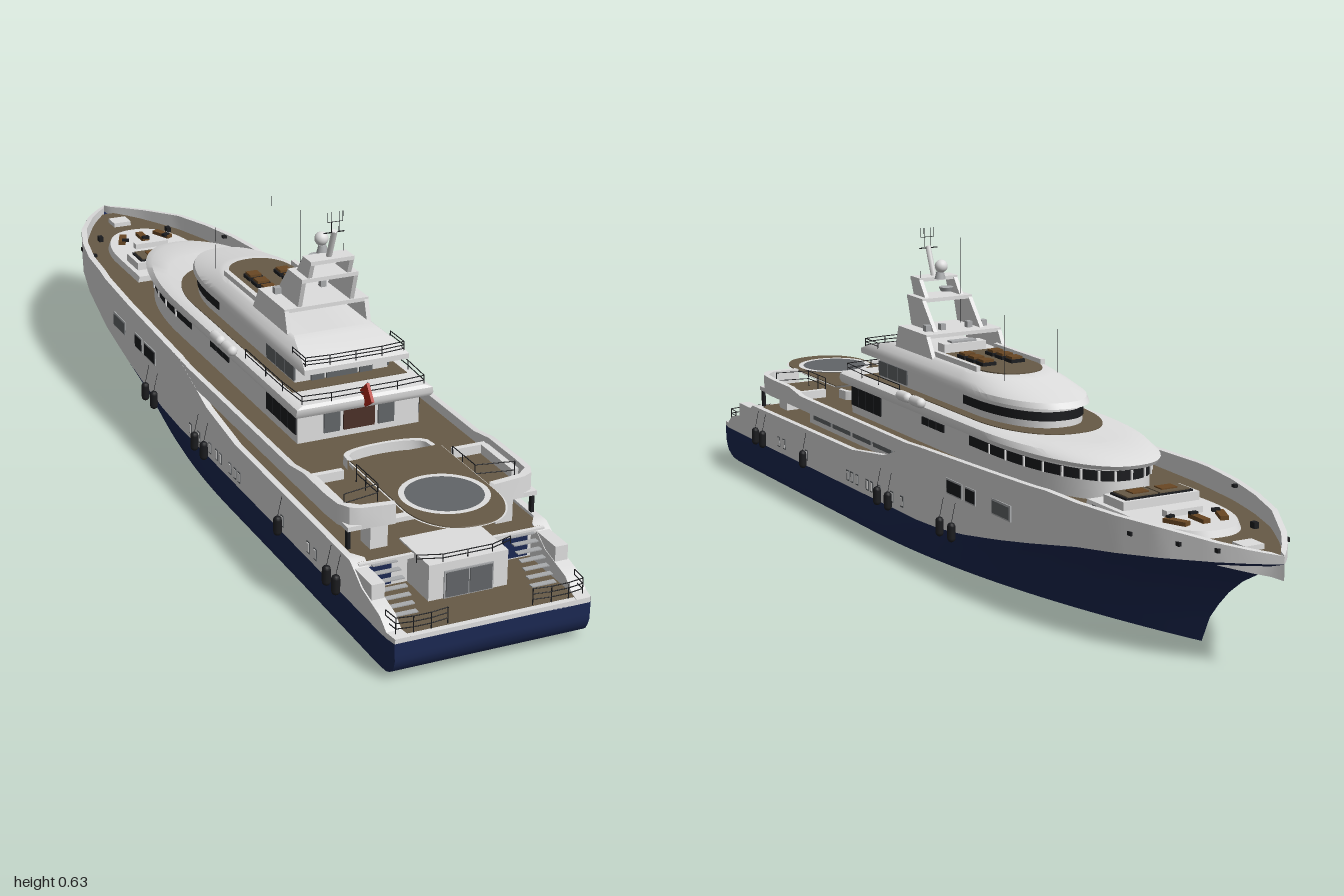
import * as THREE from 'three';
import { toCreasedNormals } from 'three/addons/utils/BufferGeometryUtils.js';

const mat = (name, color) => new THREE.MeshStandardMaterial({ name, color, side: THREE.DoubleSide });
const WHITE = mat('white paint', 0xdedede), NAVY = mat('navy hull', 0x1b2852), TEAK = mat('teak deck', 0x675a46);
const GLASS = mat('grey glass', 0x626568), BLACK = mat('black trim', 0x1b1c1f), RED = mat('red flag', 0xb3281b);
const SILVER = mat('light grey', 0xa9abad), DOOR = mat('brown door', 0x4b3028), WOOD = mat('varnished wood', 0x6a4824);

// piecewise-linear lookup in [[key, value], ...] with falling keys
function look(table, k) {
  for (let i = 1; i < table.length; i++) {
    const [a, va] = table[i - 1], [b, vb] = table[i];
    if (k >= b) return va + (vb - va) * Math.min(1, Math.max(0, (a - k) / (a - b)));
  }
  return table[table.length - 1][1];
}
const WIDTH = [[1, .196], [.97, .201], [-.3, .2], [-.45, .196], [-.6, .181], [-.7, .16], [-.8, .128], [-.9, .077], [-.96, .036], [-1, 0]];
const PAINT = [[1, .078], [0, .08], [-.1, .085], [-.2, .097], [-.35, .122], [-.6, .168], [-.8, .19], [-1, .21]];
const SHEER = [[1, .088], [.97, .09], [.95, .11], [.87, .13], [.83, .16], [.3, .165], [.15, .185], [0, .236], [-.3, .248], [-.5, .255], [-.8, .246], [-1, .225]];
const hullW = z => look(WIDTH, z);

export function createModel() {
  const model = new THREE.Group();
  const add = (name, geo, m, x = 0, y = 0, z = 0) => {
    const mesh = new THREE.Mesh(geo, m);
    mesh.name = name;
    mesh.position.set(x, y, z);
    model.add(mesh);
    return mesh;
  };
  const box = (name, m, x, y, z, w, h, d) => add(name, new THREE.BoxGeometry(w, h, d), m, x, y, z);
  // box on both sides
  const pair = (name, m, x, y, z, w, h, d) => [-1, 1].forEach(s => box(name, m, s * x, y, z, w, h, d));
  const rod = (name, m, a, b, r = .001) => {
    const A = new THREE.Vector3(...a), B = new THREE.Vector3(...b), dir = B.clone().sub(A);
    const mesh = add(name, new THREE.CylinderGeometry(r, r, dir.length(), 6), m);
    mesh.position.copy(A.add(B).multiplyScalar(.5));
    mesh.quaternion.setFromUnitVectors(new THREE.Vector3(0, 1, 0), dir.normalize());
  };
  // skin through rows of [x, y, z] points
  const loft = (name, m, rows, crease = .6) => {
    const n = rows[0].length, index = [];
    for (let i = 0; i < rows.length - 1; i++) for (let j = 0; j < n - 1; j++) {
      const a = i * n + j, b = a + n;
      index.push(a, b, a + 1, a + 1, b, b + 1);
    }
    const g = new THREE.BufferGeometry();
    g.setAttribute('position', new THREE.Float32BufferAttribute(rows.flat(2), 3));
    g.setIndex(index);
    return add(name, toCreasedNormals(g, crease), m);
  };
  // deck plan: square at za, elliptical at zf over length L
  const plan = (w, za, zf, L) => {
    const p = [[w, za]];
    for (let i = 0; i <= 32; i++) {
      const a = i / 32 * Math.PI, c = Math.cos(a);
      p.push([w * Math.sign(c) * Math.abs(c) ** .85, zf + L - L * Math.sin(a)]);
    }
    return [...p, [-w, za], [w, za]];
  };
  // stacked plans [y, w, za, zf, L], closed on top
  const stack = (name, m, levels) => {
    const rows = levels.map(([y, ...p]) => plan(...p).map(([x, z]) => [x, y, z]));
    rows.push(rows[rows.length - 1].map(([x, y, z]) => [0, y, z]));
    return loft(name, m, rows);
  };
  const rail = (name, pts, y0, y1, bars = 2) => {
    for (let i = 0; i < pts.length; i++) {
      const [x, z] = pts[i];
      rod(name, BLACK, [x, y0, z], [x, y1, z]);
      if (i) for (let k = 1; k <= bars; k++) {
        const y = y0 + (y1 - y0) * k / bars, [u, v] = pts[i - 1];
        rod(name, BLACK, [u, y, v], [x, y, z]);
      }
    }
  };

  // ---- hull: navy lower body with raked stem, white topsides with bulwark
  const STEM = [[1, -1], [.75, -.89], [.5, -.82], [.25, -.775], [0, -.75]];
  const STERN = [[1, 1], [.5, 1], [.25, .99], [.08, .97], [0, .94]];
  const levels = [0, .06, .14, .25, .4, .55, .7, .85, 1];
  for (const s of [-1, 1]) {
    const lower = [], upper = [];
    for (let i = 0; i <= 80; i++) {
      const t = i / 80, z = 1 - 2 * t, wt = hullW(z);
      const wb = .189 * (1 - Math.max(0, (t - .42) / .58) ** 2);
      const row = levels.map(v => {
        const k = Math.pow(v, .25 + .75 * t), z0 = look(STERN, v);
        return [s * (wb + (wt - wb) * k), v * look(PAINT, z), z0 + t * (look(STEM, v) - z0)];
      });
      row.unshift([0, 0, row[0][2]]);
      if (!i) lower.push(row.map(([, y, zz]) => [0, y, zz]));
      lower.push(row);
      const top = look(SHEER, z), wi = Math.max(0, wt - (z > .8 ? .03 : .013));
      upper.push([[s * wt, look(PAINT, z), z], [s * wt, top, z], [s * wi, top, z], [s * wi, Math.max(.08, top - .045), z]]);
    }
    loft('lowerHull', NAVY, lower);
    loft('topsides', WHITE, upper);
    // upper deck bulwark [x, z, top] sweeping round to the stern
    const sweep = [[.2, -.04, .238], [.2, .05, .233], [.2, .56, .233], [.2, .62, .243], [.2, .72, .243], [.197, .765, .244], [.185, .79, .245], [.165, .8, .245], [.1, .805, .243]];
    loft('upperBulwark', WHITE, sweep.map(([x, z, y], i) => {
      const xi = x - (i < 7 ? .012 : .003), zi = z - (i > 5 ? .014 : 0);
      return [[s * x, .203, z], [s * x, y, z], [s * xi, y, zi], [s * xi, .203, zi]];
    }));
  }

  // ---- decks following the hull plan
  const deck = (name, m, y, h, za, zf, inset) => {
    const pts = [];
    for (let i = 0; i <= 60; i++) {
      const z = za + (zf - za) * i / 60;
      pts.push([Math.max(0, hullW(z) - inset), -z]);
    }
    const shape = new THREE.Shape([...pts, ...pts.map(([x, f]) => [-x, f]).reverse()].map(p => new THREE.Vector2(...p)));
    const g = new THREE.ExtrudeGeometry(shape, { depth: h, bevelEnabled: false });
    add(name, g.rotateX(-Math.PI / 2), m, 0, y, 0);
  };
  deck('swimPlatformBase', WHITE, .077, .01, 1, .8, .001);
  deck('swimPlatform', TEAK, .087, .001, .988, .8, .014);
  deck('mainDeckBase', WHITE, .147, .008, .84, 0, .012);
  deck('mainDeck', TEAK, .155, .001, .832, 0, .014);
  deck('upperDeckBase', WHITE, .202, .009, .8, -.95, .008);
  deck('upperDeck', TEAK, .2115, .0015, .784, -.97, .013);

  // ---- stern: garage, stairs, side panels, rails
  box('transomBlock', WHITE, 0, .122, .84, .16, .074, .12);
  box('garageFrame', SILVER, 0, .115, .901, .1, .055, .003);
  [-1, 1].forEach(s => box('garageGlass', GLASS, s * .024, .115, .903, .045, .049, .003));
  box('sternBulkhead', WHITE, 0, .118, .812, .36, .068, .006);
  pair('sternPanel', NAVY, .14, .117, .818, .05, .047, .006);
  pair('sternWing', WHITE, .185, .115, .865, .026, .07, .09);
  for (let i = 0; i < 7; i++) pair('stairTread', SILVER, .14, .09 + i * .01, .925 - i * .014, .05, .002, .012);
  pair('sternPillar', WHITE, .128, .18, .775, .035, .05, .04);
  pair('sidePost', BLACK, .188, .185, .79, .006, .04, .01);
  for (const s of [-1, 1]) {
    rail('platformRail', [[.085, .985], [.12, .99], [.155, .99], [.187, .985], [.19, .95]].map(([x, z]) => [s * x, z]), .088, .12, 3);
    rail('aftDeckRail', [[0, .895], [.05, .895], [.095, .88]].map(([x, z]) => [s * x, z]), .159, .174, 2);
  }

  // ---- main saloon
  box('saloon', WHITE, 0, .18, .31, .3, .05, .62);
  [[-.058, .034, GLASS], [0, .07, SILVER], [.058, .034, GLASS]].forEach(([x, w, m]) => box('saloonDoor', m, x, .181, .622, w, .042, .004));
  pair('aftSideGlass', GLASS, .128, .181, .622, .035, .042, .004);
  pair('sideDeckScreen', GLASS, .169, .18, .06, .04, .05, .004);
  for (let i = 0; i < 5; i++) pair('saloonWindow', GLASS, .151, .184, .55 - i * .1, .004, .032, .088);

  // ---- helideck
  stack('helideckBase', WHITE, [[.224, .06, .64, .85, -.1], [.23, .085, .62, .9, -.11], [.237, .097, .6, .935, -.11]]);
  stack('helideck', TEAK, [[.237, .094, .6, .932, -.11], [.239, .094, .6, .931, -.11]]);
  add('padDisc', new THREE.CylinderGeometry(.078, .078, .003, 48), GLASS, 0, .2395, .8);
  add('padRing', new THREE.RingGeometry(.073, .084, 48).rotateX(-Math.PI / 2), WHITE, 0, .2418, .8);
  for (const s of [-1, 1]) rail('helideckRail', [[.1, .64], [.1, .68], [.1, .73], [.175, .745]].map(([x, z]) => [s * x, z]), .214, .25);

  // ---- aft upper deck seating: curved sofa and side benches
  const sofa = Array.from({ length: 13 }, (_, i) => {
    const a = i / 12 * Math.PI, c = Math.cos(a), d = .535 + .05 * (1 - Math.sin(a) ** .5);
    return [[c * .092, .213, d], [c * .092, .233, d], [c * .083, .233, d + .008], [c * .083, .213, d + .008]];
  });
  loft('curvedSofa', WHITE, sofa);
  pair('sideBench', WHITE, .15, .222, .612, .07, .018, .012);
  pair('sideLocker', WHITE, .179, .222, .68, .014, .02, .12);

  // ---- second storey house and its roof deck
  stack('lowerHouse', WHITE, [[.213, .13, .44, -.5, .32], [.276, .13, .44, -.5, .32]]);
  stack('forwardGlass', BLACK, [[.251, .1315, -.1, -.503, .32], [.271, .1315, -.1, -.503, .32]]);
  plan(.1325, -.1, -.505, .32).slice(1, 34).filter((_, i) => i % 2 === 0).forEach(([x, z]) => box('mullion', WHITE, x, .261, z, .004, .02, .004));
  for (let i = 0; i < 4; i++) pair('lowerHouseGlass', BLACK, .131, .252, .42 - i * .036, .004, .042, .033);
  for (let i = 0; i < 3; i++) pair('midGlass', BLACK, .131, .262, .09 - i * .034, .004, .016, .03);
  [[-.058, .034, GLASS], [0, .066, DOOR], [.058, .034, GLASS]].forEach(([x, w, m]) => box('lowerHouseDoor', m, x, .25, .442, w, .046, .004));
  stack('lowerRoof', WHITE, [[.274, .128, .45, -.5, .34], [.278, .143, .465, -.525, .36], [.286, .146, .47, -.53, .36],
    [.297, .144, .47, -.49, .34], [.303, .13, .465, -.4, .28]]);
  stack('bridgeWalkway', TEAK, [[.302, .123, .4, -.31, .2], [.3045, .123, .4, -.31, .2]]);
  for (const s of [-1, 1]) {
    rail('roofRail', [[0, .465], [.07, .465], [.13, .46], [.135, .38], [.135, .3], [.135, .2]].map(([x, z]) => [s * x, z]), .3, .32);
    // life raft canisters
    [.15, .09].forEach(z => add('liferaft', new THREE.CapsuleGeometry(.011, .03, 6, 12).rotateX(Math.PI / 2), WHITE, s * .15, .306, z));
  }

  // ---- bridge storey and its roof
  stack('bridge', WHITE, [[.303, .1, .36, -.255, .19], [.348, .1, .36, -.255, .19]]);
  stack('bridgeGlass', BLACK, [[.319, .1015, -.02, -.258, .19], [.337, .1015, -.02, -.258, .19]]);
  for (let i = 0; i < 3; i++) pair('bridgeSideGlass', GLASS, .101, .325, .34 - i * .045, .004, .032, .042);
  [[-.052, .028], [0, .066], [.052, .028]].forEach(([x, w]) => box('bridgeDoor', GLASS, x, .324, .362, w, .04, .004));
  stack('bridgeRoof', WHITE, [[.344, .1, .42, -.265, .22], [.347, .111, .43, -.28, .24], [.358, .111, .43, -.27, .24],
    [.37, .104, .4, -.21, .2], [.382, .09, .34, -.14, .14], [.386, .084, .32, -.12, .12]]);
  for (const s of [-1, 1]) rail('bridgeRoofRail', [[0, .425], [.055, .425], [.105, .42], [.105, .36]].map(([x, z]) => [s * x, z]), .358, .38, 3);
  stack('sunDeck', TEAK, [[.386, .07, .15, -.105, .09], [.3885, .07, .15, -.105, .09]]);
  pair('sunDeckCoaming', WHITE, .076, .391, .06, .01, .012, .2);
  for (let i = 0; i < 3; i++) {
    pair('loungerBase', BLACK, .034, .392, .005 + i * .04, .032, .007, .032);
    pair('lounger', WOOD, .034, .398, .005 + i * .04, .025, .005, .025);
  }
  box('sunDeckBar', WHITE, 0, .396, .17, .1, .02, .03);
  box('barTop', SILVER, 0, .408, .17, .06, .004, .02);

  // ---- raked mast: arches of side fins with a cross beam
  const fin = (x, y0, y1, a0, a1, b0, b1) => {
    const sh = new THREE.Shape([[-a0, y0], [-a1, y0], [-b1, y1], [-b0, y1]].map(p => new THREE.Vector2(...p)));
    const g = new THREE.ExtrudeGeometry(sh, { depth: .009, bevelEnabled: false });
    add('mastFin', g.translate(0, 0, -.0045).rotateY(Math.PI / 2), WHITE, x, 0, 0);
  };
  [[.086, .36, .425, .31, .12, .29, .16], [.056, .425, .488, .285, .18, .305, .235], [.042, .488, .526, .3, .245, .315, .275]].forEach(([x, y0, y1, a0, a1, b0, b1]) => {
    [-1, 1].forEach(s => fin(s * x, y0, y1, a0, a1, b0, b1));
    box('mastBeam', WHITE, 0, y1, (b0 + b1) / 2, 2 * x + .009, .008, b0 - b1);
  });
  rod('mastPole', WHITE, [0, .525, .295], [0, .59, .322], .006);
  rod('mastYard', BLACK, [-.022, .587, .32], [.022, .587, .32], .0012);
  rod('mastYard', BLACK, [-.016, .61, .325], [.016, .61, .325], .0006);
  [-.016, -.008, .008, .016].forEach((x, i) => rod('mastAerial', BLACK, [x, i % 3 ? .588 : .61, .325], [x, .63, .325], .0006));
  add('radarDome', new THREE.SphereGeometry(.014, 20, 14), WHITE, 0, .555, .262);
  add('domeBase', new THREE.CylinderGeometry(.008, .012, .016, 16), SILVER, 0, .535, .267);
  add('radarDisc', new THREE.CylinderGeometry(.016, .012, .009, 20), SILVER, 0, .509, .24);
  pair('searchlight', SILVER, .067, .436, .2, .014, .013, .014);
  pair('searchlight', SILVER, .032, .436, .2, .012, .013, .014);
  [[-.04, .43, .25, .615], [.06, .38, -.12, .515], [-.075, .38, -.1, .47], [.04, .5, .28, .545]].forEach(([x, y, z, t]) => rod('whipAerial', BLACK, [x, y, z], [x, t, z], .0005));

  // ---- ensign
  rod('flagStaff', SILVER, [0, .275, .44], [0, .335, .478]);
  const flag = new THREE.Shape([[-.45, .308], [-.472, .282], [-.502, .302], [-.478, .333]].map(p => new THREE.Vector2(...p)));
  const flagGeo = new THREE.ExtrudeGeometry(flag, { depth: .006, bevelEnabled: false });
  add('flag', flagGeo.translate(0, 0, -.003).rotateY(Math.PI / 2), RED);

  // ---- foredeck: lounge, spa pool, hatch and bollards
  stack('foredeckLounge', WHITE, [[.213, .1, -.5, -.81, .17], [.226, .096, -.5, -.805, .17]]);
  box('spaSurround', WHITE, 0, .228, -.575, .17, .03, .07);
  box('spaRim', BLACK, 0, .2445, -.575, .15, .004, .056);
  pair('spaSeat', TEAK, .036, .247, -.575, .068, .004, .05);
  pair('spaPad', WOOD, .032, .25, -.575, .036, .003, .026);
  [-.05, 0, .05].forEach(x => {
    box('sunbed', WOOD, x, .231, -.735, .016, .008, .05).rotation.y = x * 8;
    box('sunbedHead', BLACK, x, .236, -.715, .016, .006, .01).rotation.y = x * 8;
  });
  box('foredeckTable', WHITE, 0, .232, -.68, .08, .012, .016);
  box('bowHatch', WHITE, 0, .218, -.89, .042, .01, .04);
  pair('bollard', BLACK, .085, .22, -.79, .01, .012, .014);
  pair('bowGate', BLACK, .165, .246, -.62, .02, .006, .01);

  // ---- hull side details: windows, ports, fairleads and fenders
  for (const s of [-1, 1]) {
    [[-.165, .058, BLACK], [-.232, .036, BLACK], [-.352, .066, GLASS]].forEach(([z, w, m]) => {
      const x = s * (hullW(z) + .0005);
      box('windowFrame', SILVER, x, .183, z, .003, .032, w + .006);
      box('hullWindow', m, x, .183, z, .006, .025, w);
    });
    [.68, .65, .53, .32, .3, .275, .225, .205, .17, .11, .065].forEach(z => {
      box('portFrame', GLASS, s * .2, .104, z, .004, .024, .013);
      box('portLight', WHITE, s * .2, .104, z, .006, .018, .008);
    });
    [-.73, -.83, -.9].forEach(z => box('fairlead', BLACK, s * (hullW(z) - .002), .222, z, .006, .008, .018));
    [.79, .75, .53, .16, .11, -.12, -.17].forEach(z => {
      add('fender', new THREE.CapsuleGeometry(.0085, .024, 4, 10), BLACK, s * .211, .096, z);
      rod('fenderLine', BLACK, [s * .211, .115, z], [s * .202, .155, z], .0005);
    });
  }
  return model;
}
